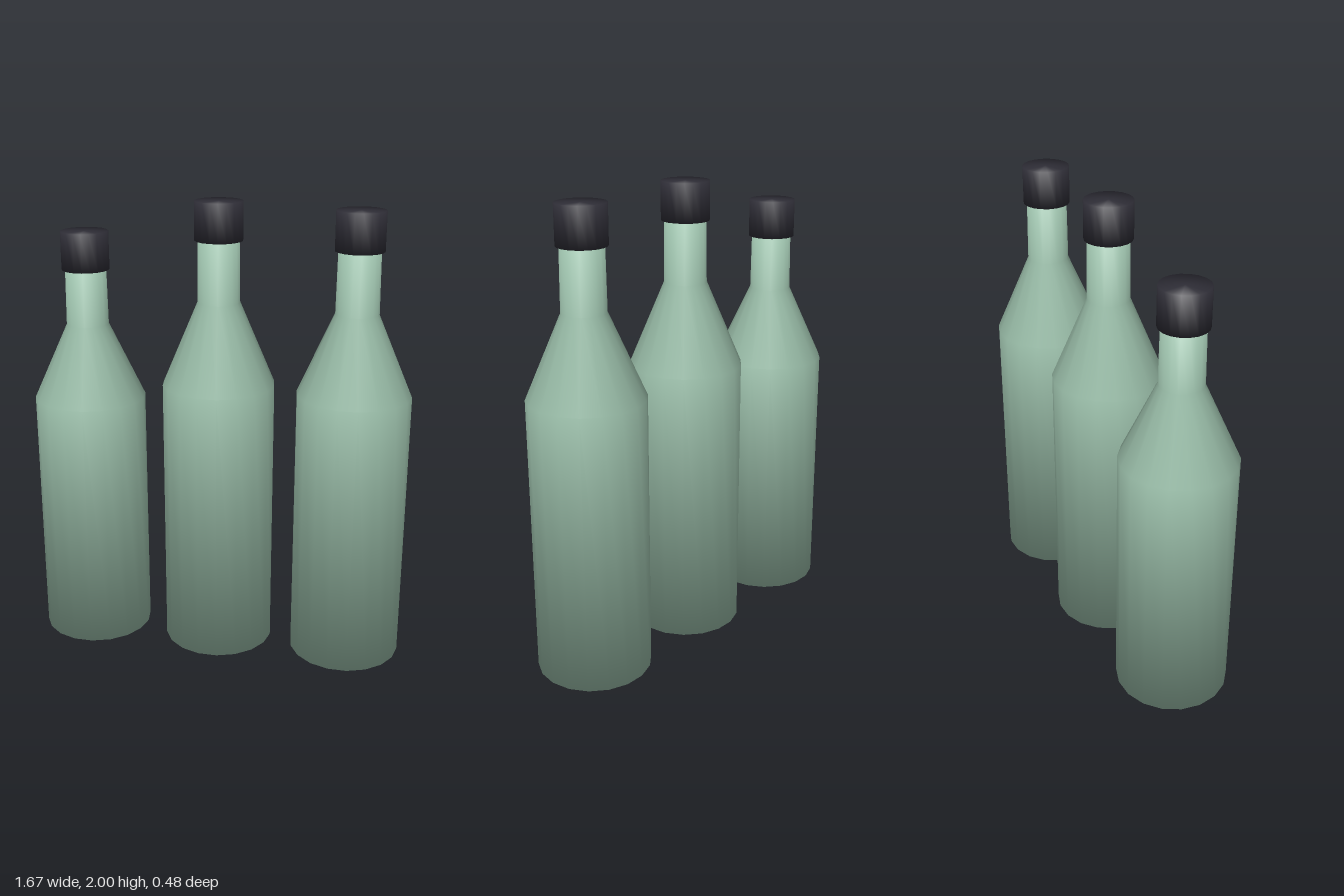
import * as THREE from 'three';

const SIDES = 18;

// Revolve a [radius, height] profile (bottom to top) with evenly blended smooth
// normals, so the corners at the base, shoulder and rim shade softly.
function revolve(profile) {
  const points = profile.map(([r, y]) => new THREE.Vector2(r, y));
  const geometry = new THREE.LatheGeometry(points, SIDES, Math.PI / 2);
  const edges = points.slice(1).map((p, i) => {
    const d = p.clone().sub(points[i]).normalize();
    return new THREE.Vector2(d.y, -d.x);
  });
  const blended = points.map((p, j) => {
    const n = new THREE.Vector2();
    if (j > 0) n.add(edges[j - 1]);
    if (j < edges.length) n.add(edges[j]);
    return n.normalize();
  });
  const normal = geometry.attributes.normal;
  for (let i = 0; i <= SIDES; i++) {
    const phi = Math.PI / 2 + (i / SIDES) * Math.PI * 2;
    blended.forEach((n, j) => {
      normal.setXYZ(i * points.length + j, n.x * Math.sin(phi), n.y, n.x * Math.cos(phi));
    });
  }
  return geometry;
}

export function createModel() {
  const model = new THREE.Group();
  model.name = 'bottles';

  const glass = new THREE.MeshStandardMaterial({ color: 0x9cc0ab });
  glass.name = 'pale green glass';
  const capBlack = new THREE.MeshStandardMaterial({ color: 0x2e2d36 });
  capBlack.name = 'black cap';

  // Heights of the shoulder, neck base, cap underside and cap top
  const bottles = [
    { name: 'rightBottle', x: -0.59, shoulder: 1.12, neck: 1.45, capBase: 1.69, top: 1.855 },
    { name: 'middleBottle', x: 0, shoulder: 1.215, neck: 1.575, capBase: 1.837, top: 2 },
    { name: 'leftBottle', x: 0.588, shoulder: 1.205, neck: 1.555, capBase: 1.815, top: 1.98 },
  ];

  for (const { name, x, shoulder, neck, capBase, top } of bottles) {
    const bottle = new THREE.Group();
    bottle.name = name;
    bottle.position.x = x;

    // Closed base, straight wall, sloping shoulder and slim neck
    const body = new THREE.Mesh(revolve([
      [0, 0], [0.245, 0], [0.245, shoulder], [0.092, neck], [0.088, capBase + 0.05], [0, capBase + 0.05],
    ]), glass);
    body.name = 'glassBody';

    // Screw cap, slightly wider than the neck
    const cap = new THREE.Mesh(revolve([
      [0, capBase], [0.103, capBase], [0.103, top], [0, top],
    ]), capBlack);
    cap.name = 'cap';

    bottle.add(body, cap);
    model.add(bottle);
  }
  return model;
}
